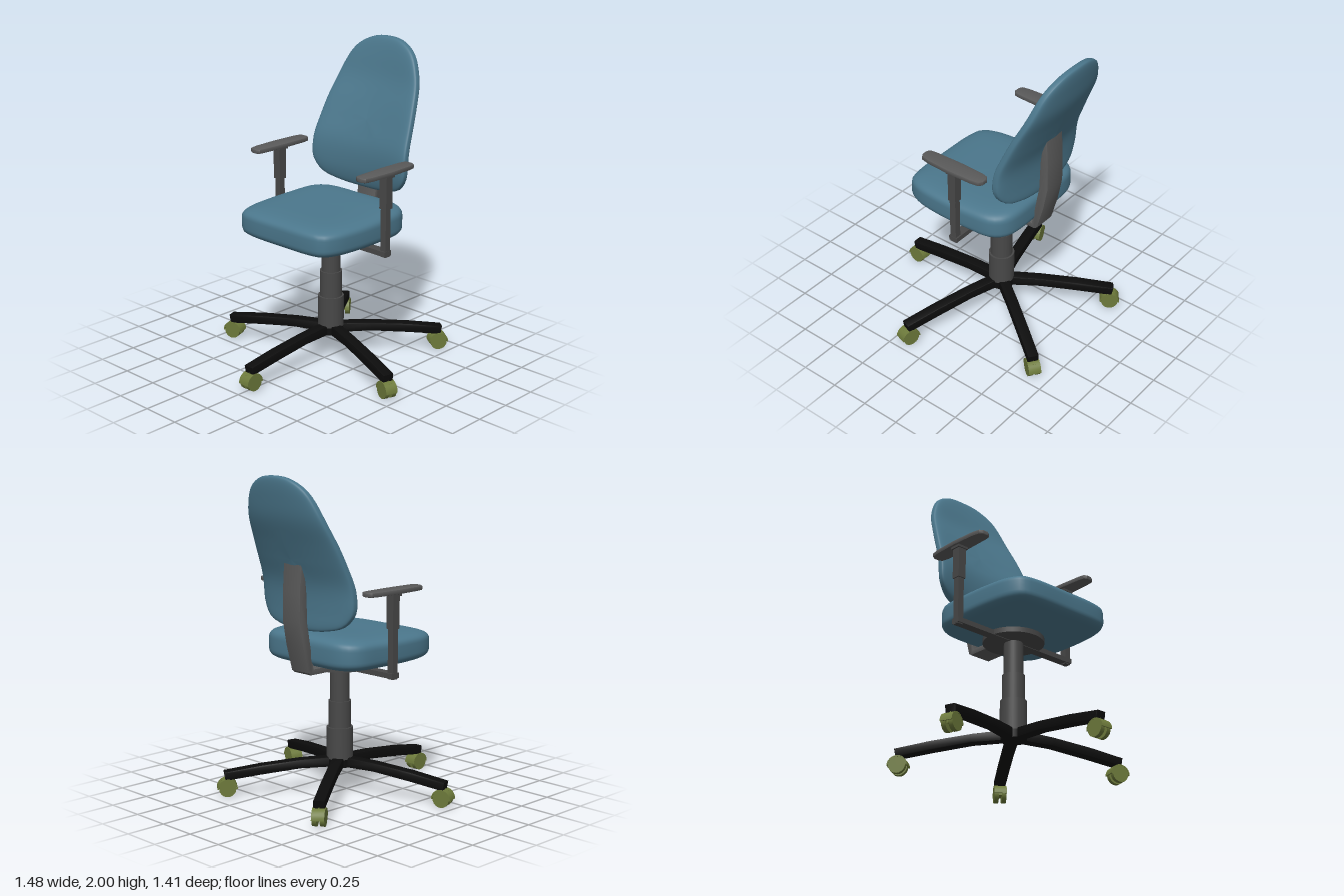
import * as THREE from 'three';
import { toCreasedNormals } from 'three/addons/utils/BufferGeometryUtils.js';

const material = (color) => new THREE.MeshStandardMaterial({ color });
const FABRIC = material(0x4b778c);
const METAL = material(0x484848);
const PLASTIC = material(0x5a5a5a);
const BLACK = material(0x0c0c0c);
const OLIVE = material(0x6d7a3b);
const AXIS_Z = -0.06; // the column stands slightly behind the centre

function add(parent, name, geometry, mat, x = 0, y = 0, z = 0) {
  const mesh = new THREE.Mesh(geometry, mat);
  mesh.name = name;
  mesh.position.set(x, y, z);
  parent.add(mesh);
  return mesh;
}

const box = (w, h, d) => new THREE.BoxGeometry(w, h, d);
const shapeOf = (pts) => new THREE.Shape(pts.map(([x, y]) => new THREE.Vector2(x, y)));

// Side profile given as [z, y], extruded across x and centred
function sideExtrude(pts, width, bevel = 0) {
  const geo = new THREE.ExtrudeGeometry(shapeOf(pts), {
    depth: width - 2 * bevel, curveSegments: 12,
    bevelEnabled: bevel > 0, bevelThickness: bevel, bevelSize: bevel, bevelOffset: -bevel, bevelSegments: 2,
  });
  geo.translate(0, 0, -width / 2 + bevel);
  geo.rotateY(-Math.PI / 2);
  return toCreasedNormals(geo, 0.6);
}

// Smooth closed outline from its right half, mirrored in x
function mirroredOutline(half, count) {
  const left = half.slice(1, -1).reverse().map(([x, y]) => [-x, y]);
  const pts = [...half, ...left].map(([x, y]) => new THREE.Vector3(x, y, 0));
  return new THREE.CatmullRomCurve3(pts, true, 'centripetal').getSpacedPoints(count).slice(0, count);
}

// Cushion: outline shrunk to its centre on both faces with a rounded rim;
// place(u, v, h) bends it into position, h running from 1 (face) to -1 (back)
function cushion(half, centreV, roundness, place) {
  const N = 80, ROWS = 44;
  const outline = mirroredOutline(half, N);
  const pos = [], index = [];
  for (let i = 0; i <= ROWS; i++) {
    const a = (i / ROWS) * Math.PI;
    const s = Math.pow(Math.max(0, Math.sin(a)), roundness);
    const c = Math.abs(Math.cos(a)) < 1e-9 ? 0 : Math.cos(a);
    const h = Math.sign(c) * Math.pow(Math.abs(c), roundness);
    for (const p of outline) pos.push(...place(p.x * s, centreV + (p.y - centreV) * s, h));
  }
  for (let i = 0; i < ROWS; i++) {
    for (let j = 0; j < N; j++) {
      const k = (j + 1) % N;
      const a = i * N + j, b = (i + 1) * N + j, c = (i + 1) * N + k, d = i * N + k;
      if (i < ROWS - 1) index.push(a, b, c);
      if (i > 0) index.push(a, c, d);
    }
  }
  const geo = new THREE.BufferGeometry();
  geo.setAttribute('position', new THREE.Float32BufferAttribute(pos, 3));
  geo.setIndex(index);
  geo.computeVertexNormals();
  return geo;
}

function createSeat() {
  const half = [[0, -0.41], [0.25, -0.405], [0.34, -0.38], [0.387, -0.3], [0.41, -0.15],
    [0.41, 0.1], [0.387, 0.28], [0.31, 0.355], [0, 0.37]];
  return cushion(half, 0, 0.45, (u, v, h) => {
    const thick = h > 0 ? 0.1 + 0.03 * v + 0.05 * v * v : 0.105;
    return [u, 0.937 + h * thick, -v];
  });
}

function createBackrest() {
  const half = [[0, 1.07], [0.2, 1.083], [0.32, 1.12], [0.382, 1.2], [0.39, 1.3], [0.376, 1.45],
    [0.35, 1.62], [0.3, 1.8], [0.23, 1.92], [0.12, 1.985], [0, 2.0]];
  // centre line of the lumbar curve
  const spine = new THREE.CubicInterpolant(
    [1.07, 1.2, 1.35, 1.5, 1.6, 1.75, 1.88, 2.0],
    [-0.365, -0.355, -0.367, -0.42, -0.46, -0.523, -0.556, -0.583], 1);
  return cushion(half, 1.5, 0.5, (x, y, h) => {
    const z = spine.evaluate(THREE.MathUtils.clamp(y, 1.07, 2))[0];
    return [x, y, z + 0.3 * x * x + 0.042 * h];
  });
}

// Twin wheel caster, rolling along z
function createCaster() {
  const caster = new THREE.Group();
  caster.name = 'caster';
  for (const s of [-1, 1]) {
    const wheel = new THREE.CylinderGeometry(0.053, 0.053, 0.028, 20).rotateZ(Math.PI / 2);
    add(caster, 'casterWheel', wheel, OLIVE, s * 0.024, 0.056);
  }
  const arc = (r, from, to) => Array.from({ length: 13 }, (_, i) => {
    const a = from + (to - from) * (i / 12);
    return [r * Math.cos(a), 0.052 + r * Math.sin(a)];
  });
  const hood = sideExtrude([...arc(0.063, 0, Math.PI), ...arc(0.055, Math.PI, 0)], 0.078);
  add(caster, 'casterHood', hood, OLIVE);
  add(caster, 'casterWeb', box(0.022, 0.06, 0.07), OLIVE, 0, 0.075);
  add(caster, 'casterStem', new THREE.CylinderGeometry(0.015, 0.015, 0.04, 12), OLIVE, 0, 0.12);
  return caster;
}

function createBase() {
  const base = new THREE.Group();
  base.name = 'base';
  base.position.z = AXIS_Z;
  const legProfile = [[0, 0.17], [0.25, 0.165], [0.5, 0.135], [0.715, 0.105],
    [0.725, 0.16], [0.5, 0.195], [0.25, 0.222], [0, 0.235]];
  const legGeo = sideExtrude(legProfile, 0.07, 0.008);
  for (let i = 0; i < 5; i++) {
    const spoke = new THREE.Group();
    spoke.name = 'spoke';
    spoke.rotation.y = (i * Math.PI * 2) / 5;
    add(spoke, 'leg', legGeo, BLACK);
    const caster = createCaster();
    caster.position.z = 0.703;
    spoke.add(caster);
    base.add(spoke);
  }
  add(base, 'hub', new THREE.CylinderGeometry(0.08, 0.08, 0.06, 32), BLACK, 0, 0.2);
  // telescopic column: [radius, bottom, top]
  for (const [r, y0, y1] of [[0.082, 0.22, 0.42], [0.07, 0.42, 0.587], [0.06, 0.587, 0.81]]) {
    add(base, 'columnStage', new THREE.CylinderGeometry(r, r, y1 - y0, 32), METAL, 0, (y0 + y1) / 2);
  }
  return base;
}

function createArmrest(side) {
  const arm = new THREE.Group();
  arm.name = side > 0 ? 'leftArmrest' : 'rightArmrest';
  arm.position.set(side * 0.45, 0, AXIS_Z);
  add(arm, 'armPost', box(0.042, 0.32, 0.042), METAL, 0, 0.95);
  add(arm, 'armSleeve', box(0.055, 0.21, 0.055), METAL, 0, 1.2);
  add(arm, 'padBracket', box(0.075, 0.018, 0.07), METAL, 0, 1.3);
  // pad outline as [outward, forward], ends narrower on the outer side
  const outline = [[-0.05, -0.18], [-0.045, -0.215], [-0.025, -0.23], [0.012, -0.23], [0.035, -0.215],
    [0.045, -0.16], [0.052, 0], [0.045, 0.16], [0.035, 0.21], [0.012, 0.225], [-0.025, 0.225],
    [-0.045, 0.21], [-0.053, 0.17], [-0.057, 0]];
  const pad = new THREE.ExtrudeGeometry(shapeOf(outline.map(([x, y]) => [side * x, y])), {
    depth: 0.018, bevelThickness: 0.005, bevelSize: 0.005, bevelOffset: -0.005, bevelSegments: 2,
  }).rotateX(-Math.PI / 2);
  add(arm, 'armPad', toCreasedNormals(pad, 0.6), PLASTIC, 0, 1.311);
  return arm;
}

export function createModel() {
  const chair = new THREE.Group();
  chair.name = 'officeChair';
  chair.add(createBase());

  // support under the seat
  add(chair, 'seatPlate', new THREE.CylinderGeometry(0.19, 0.19, 0.035, 40), METAL, 0, 0.817, AXIS_Z);
  add(chair, 'crossBar', box(0.945, 0.032, 0.06), METAL, 0, 0.812, AXIS_Z);
  const bracket = [[-0.15, 0.8], [-0.37, 0.8], [-0.39, 0.815], [-0.435, 0.98], [-0.462, 1.13],
    [-0.46, 1.3], [-0.447, 1.5], [-0.425, 1.5], [-0.405, 1.3], [-0.4, 1.12], [-0.372, 0.96],
    [-0.35, 0.835], [-0.15, 0.835]];
  add(chair, 'backBracket', sideExtrude(bracket, 0.15, 0.004), PLASTIC);

  add(chair, 'seat', createSeat(), FABRIC);
  add(chair, 'backrest', createBackrest(), FABRIC);
  for (const side of [-1, 1]) chair.add(createArmrest(side));
  return chair;
}
